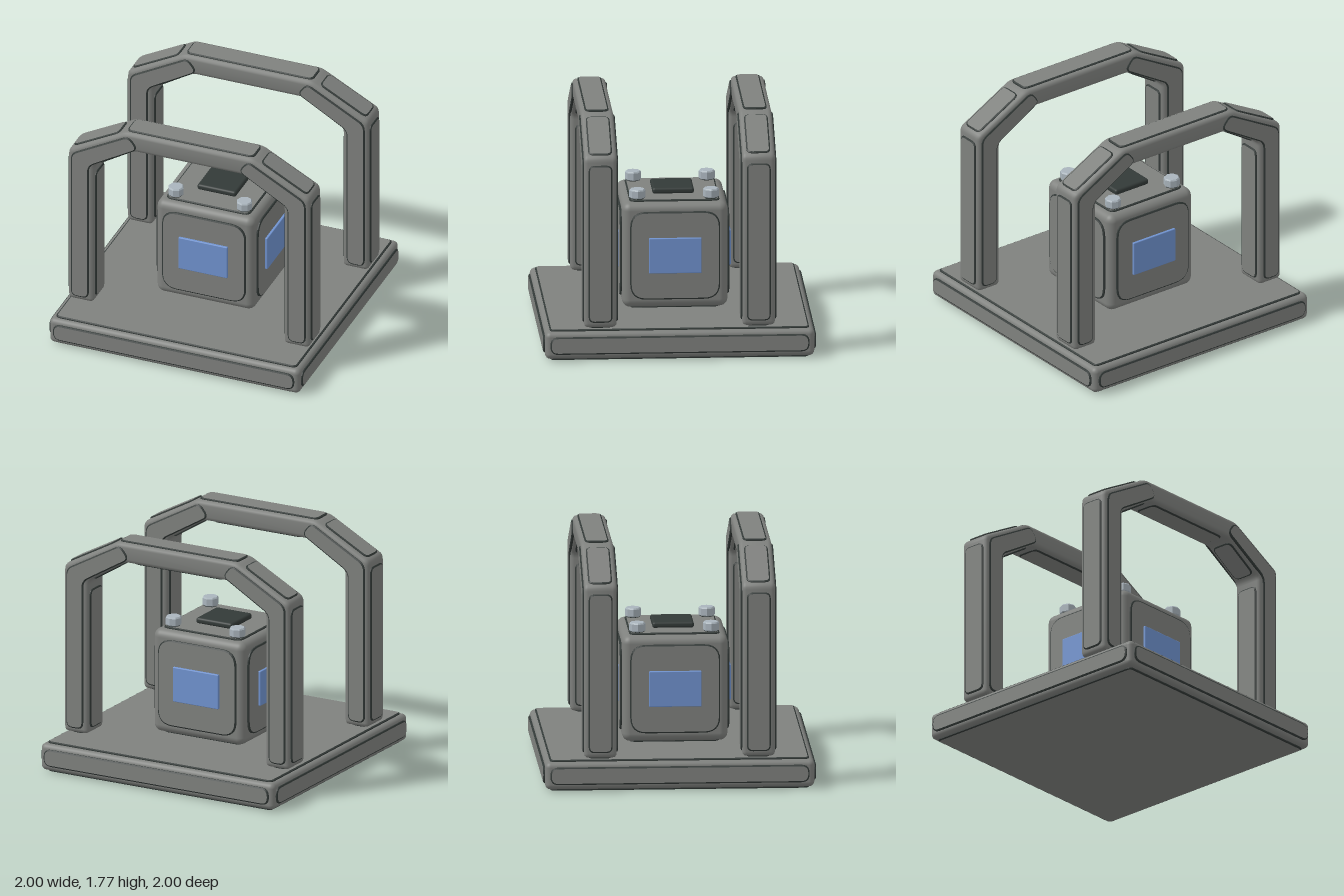
import * as THREE from 'three';
import { RoundedBoxGeometry } from 'three/addons/geometries/RoundedBoxGeometry.js';
import { toCreasedNormals } from 'three/addons/utils/BufferGeometryUtils.js';

const mat = (name, color) => {
  const m = new THREE.MeshStandardMaterial({ color });
  m.name = name;
  return m;
};
const V = (x, y, z) => new THREE.Vector3(x, y, z);

// Closed polygon with every corner rounded
function roundedShape(pts, radius) {
  const p = pts.map(([x, y]) => new THREE.Vector2(x, y));
  const shape = new THREE.Shape();
  p.forEach((c, i) => {
    const a = p[(i + p.length - 1) % p.length], b = p[(i + 1) % p.length];
    const ra = Math.min(radius, c.distanceTo(a) * 0.49), rb = Math.min(radius, c.distanceTo(b) * 0.49);
    const s = c.clone().add(a.clone().sub(c).setLength(ra));
    const e = c.clone().add(b.clone().sub(c).setLength(rb));
    if (i === 0) shape.moveTo(s.x, s.y); else shape.lineTo(s.x, s.y);
    shape.quadraticCurveTo(c.x, c.y, e.x, e.y);
  });
  shape.closePath();
  return shape;
}
const rect = (w, h, r) => roundedShape([[-w / 2, -h / 2], [w / 2, -h / 2], [w / 2, h / 2], [-w / 2, h / 2]], r);

export function createModel() {
  const grey = mat('grey metal', 0x7f817e);
  const dark = mat('dark trim', 0x333a38);
  const blue = mat('blue screen', 0x7093d0);
  const silver = mat('silver bolt', 0xa9b4bc);

  const model = new THREE.Group();
  const add = (parent, name, geo, material, x = 0, y = 0, z = 0) => {
    const m = new THREE.Mesh(geo, material);
    m.name = name;
    m.position.set(x, y, z);
    parent.add(m);
    return m;
  };

  // Raised grey plate with a dark bevelled rim, lying on a surface
  const panel = (parent, name, shape, origin, xAxis, normal, rise = 0.013) => {
    const geo = new THREE.ExtrudeGeometry(shape, {
      depth: 0.012, bevelThickness: 0.006, bevelSize: 0.01, bevelOffset: -0.01, bevelSegments: 1, curveSegments: 6,
    });
    geo.translate(0, 0, rise - 0.018);
    const yAxis = normal.clone().cross(xAxis);
    geo.applyMatrix4(new THREE.Matrix4().makeBasis(xAxis, yAxis, normal).setPosition(origin));
    return add(parent, name, geo, [grey, dark]);
  };

  // The four upright sides of a block: outward normal and sideways axis
  const sides = [0, 1, 2, 3].map((i) => {
    const a = i * Math.PI / 2;
    return { a, n: V(Math.sin(a), 0, Math.cos(a)), x: V(Math.cos(a), 0, -Math.sin(a)) };
  });
  const X = V(1, 0, 0), UP = V(0, 1, 0), DOWN = V(0, -1, 0);

  // Base slab
  const base = new THREE.Group();
  base.name = 'base';
  model.add(base);
  add(base, 'baseSlab', new RoundedBoxGeometry(1.974, 0.204, 1.974, 4, 0.04), grey, 0, 0.115, 0);
  for (const s of sides) {
    panel(base, 'baseSidePanel', rect(1.9, 0.13, 0.06), s.n.clone().multiplyScalar(0.987).setY(0.117), s.x, s.n);
  }
  panel(base, 'baseTopPanel', rect(1.9, 1.9, 0.04), V(0, 0.217, 0), X, UP);
  panel(base, 'baseBottomPanel', rect(1.9, 1.9, 0.04), V(0, 0.013, 0), X, DOWN);

  // Central box with panels and screens
  const box = new THREE.Group();
  box.name = 'centralBox';
  model.add(box);
  add(box, 'boxBody', new RoundedBoxGeometry(0.774, 0.79, 0.774, 5, 0.06), grey, 0, 0.635, 0);
  for (const s of sides) {
    panel(box, 'boxSidePanel', rect(0.66, 0.66, 0.12), s.n.clone().multiplyScalar(0.387).setY(0.637), s.x, s.n, 0.015);
    const at = s.n.clone().multiplyScalar(0.405);
    add(box, 'screen', new RoundedBoxGeometry(0.385, 0.265, 0.03, 2, 0.006), blue, at.x, 0.64, at.z).rotation.y = s.a;
  }
  panel(box, 'boxTopPanel', rect(0.66, 0.66, 0.05), V(0, 1.03, 0), X, UP);
  panel(box, 'boxBottomPanel', rect(0.66, 0.66, 0.05), V(0, 0.24, 0), X, DOWN);
  add(box, 'topPad', new RoundedBoxGeometry(0.305, 0.045, 0.305, 3, 0.018), dark, 0, 1.063, 0);

  // Corner bolts on the box
  const headGeo = toCreasedNormals(new THREE.LatheGeometry(
    [[0, 0], [0.055, 0], [0.06, 0.006], [0.06, 0.056], [0.052, 0.066], [0, 0.066]].map(([x, y]) => new THREE.Vector2(x, y)), 8), 0.5);
  const neckGeo = new THREE.CylinderGeometry(0.052, 0.052, 0.03, 8);
  for (const x of [-0.27, 0.27]) for (const z of [-0.27, 0.27]) {
    add(box, 'boltHead', headGeo, silver, x, 1.048, z);
    add(box, 'boltNeck', neckGeo, dark, x, 1.037, z);
  }

  // Arch outline (right half, mirrored)
  const half = [[0.75, 0.24], [0.95, 0.24], [0.95, 1.52], [0.5, 1.762]];
  const inner = [[0.75, 1.42], [0.44, 1.612]];
  const flip = ([x, y]) => [-x, y];
  const outline = [...half, ...half.map(flip).reverse(), ...inner.map(flip), ...inner.slice().reverse()];
  const archGeo = toCreasedNormals(new THREE.ExtrudeGeometry(roundedShape(outline, 0.035), {
    depth: 0.18, bevelThickness: 0.03, bevelSize: 0.03, bevelOffset: -0.03, bevelSegments: 3, curveSegments: 4,
  }).translate(0, 0, -0.09), 0.6);

  // Edge panels run counter-clockwise round the outline, so the normal points outwards
  const runs = [
    ['outerLegPanel', [0.95, 0.28], [0.95, 1.465]],
    ['outerBracePanel', [0.922, 1.535], [0.555, 1.732]],
    ['innerLegPanel', [0.75, 1.345], [0.75, 0.28]],
    ['innerBracePanel', [0.46, 1.6], [0.725, 1.435]],
    ['footPanel', [0.785, 0.24], [0.915, 0.24]],
  ];
  const mirrored = runs.map(([n, a, b]) => [n, flip(b), flip(a)]);
  const beamRuns = [
    ['beamTopPanel', [0.5, 1.762], [-0.5, 1.762]],
    ['beamUnderPanel', [-0.38, 1.612], [0.38, 1.612]],
  ];
  const facePts = [[0.925, 0.275], [0.925, 1.495], [0.47, 1.745], [0.395, 1.645], [0.785, 1.415], [0.785, 0.275]];
  const faceRight = roundedShape(facePts, 0.05);
  const faceLeft = roundedShape(facePts.map(flip).reverse(), 0.05);

  // Two arches, front and back
  for (const z of [0.58, -0.58]) {
    const arch = new THREE.Group();
    arch.name = z > 0 ? 'frontArch' : 'backArch';
    arch.position.z = z;
    model.add(arch);
    add(arch, 'archFrame', archGeo, grey);
    for (const [name, a, b] of [...runs, ...mirrored, ...beamRuns]) {
      const d = V(b[0] - a[0], b[1] - a[1], 0), len = d.length();
      d.normalize();
      const mid = V((a[0] + b[0]) / 2, (a[1] + b[1]) / 2, 0);
      panel(arch, name, rect(len, 0.175, 0.045), mid, d, V(d.y, -d.x, 0), 0.011);
    }
    for (const face of [faceRight, faceLeft]) {
      panel(arch, 'archFacePanel', face, V(0, 0, 0.12), X, V(0, 0, 1), 0.011);
      panel(arch, 'archFacePanel', face, V(0, 0, -0.12), V(-1, 0, 0), V(0, 0, -1), 0.011);
    }
  }
  return model;
}
